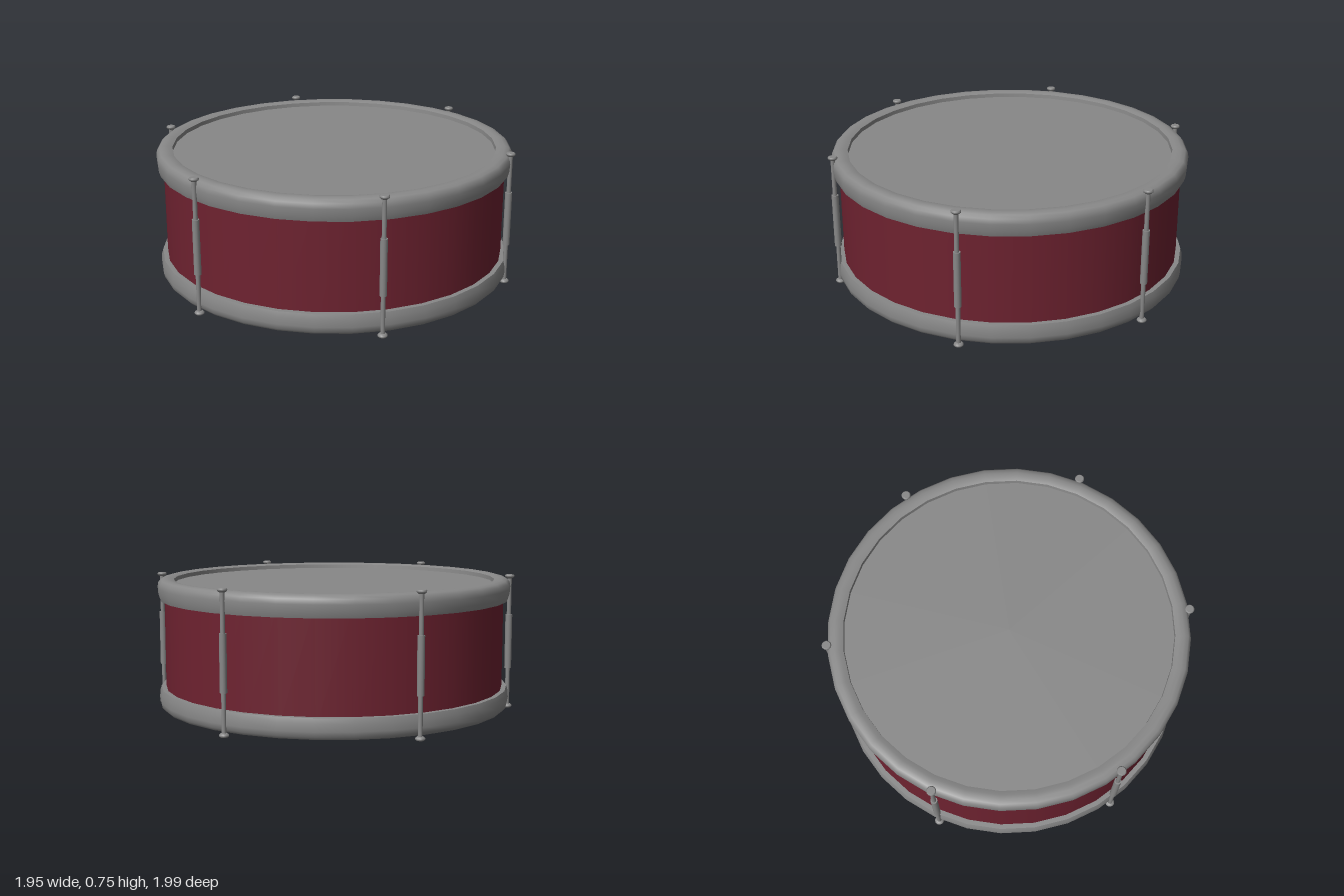
import * as THREE from 'three';

const SEGMENTS = 32;
const MID = 0.3725; // half of the total height
const ROD_RADIUS = 0.974;

export function createModel() {
  const drum = new THREE.Group();
  drum.name = 'drum';

  const red = new THREE.MeshStandardMaterial({ color: 0x6e2230 });
  red.name = 'dark red shell';
  const grey = new THREE.MeshStandardMaterial({ color: 0x888888 });
  grey.name = 'grey metal';

  const add = (parent, name, geometry, material, y = 0) => {
    const mesh = new THREE.Mesh(geometry, material);
    mesh.name = name;
    mesh.position.y = y;
    parent.add(mesh);
    return mesh;
  };

  // Shell, open because its ends are hidden in the hoops
  add(drum, 'shell', new THREE.CylinderGeometry(0.94, 0.94, 0.6, SEGMENTS, 1, true), red, MID);

  // Rounded hoop and recessed head; repeated points keep an edge sharp
  const profile = [
    [0.93, 0.243], [0.966, 0.243], [0.966, 0.243], [0.974, 0.27], [0.977, 0.31],
    [0.972, 0.336], [0.958, 0.352], [0.935, 0.358], [0.91, 0.357],
    [0.888, 0.35], [0.888, 0.35], [0.885, 0.32],
  ].map(([r, y]) => new THREE.Vector2(r, y));
  const hoop = new THREE.LatheGeometry(profile, SEGMENTS);
  const head = new THREE.CylinderGeometry(0.892, 0.892, 0.01, SEGMENTS);

  for (const [side, turn] of [['top', 0], ['bottom', Math.PI]]) {
    const end = new THREE.Group();
    end.name = side + 'End';
    end.position.y = MID;
    end.rotation.x = turn;
    add(end, side + 'Hoop', hoop, grey);
    add(end, side + 'Head', head, grey, 0.323);
    drum.add(end);
  }

  // Six tension rods, each with a sleeve and a bolt at both ends
  const rod = new THREE.CylinderGeometry(0.012, 0.012, 0.73, 12);
  const sleeve = new THREE.CylinderGeometry(0.019, 0.019, 0.3, 12);
  const bolt = new THREE.LatheGeometry([
    [0, -0.012], [0.016, -0.012], [0.025, -0.004], [0.026, 0.003],
    [0.021, 0.008], [0.021, 0.008], [0, 0.008],
  ].map(([r, y]) => new THREE.Vector2(r, y)), 12);

  for (let i = 0; i < 6; i++) {
    const angle = THREE.MathUtils.degToRad(5.1 + i * 60);
    const tension = new THREE.Group();
    tension.name = 'tensionRod' + (i + 1);
    tension.position.set(Math.sin(angle) * ROD_RADIUS, MID, Math.cos(angle) * ROD_RADIUS);
    tension.rotation.y = angle;
    add(tension, 'rod', rod, grey);
    add(tension, 'sleeve', sleeve, grey);
    add(tension, 'topBolt', bolt, grey, MID - 0.008);
    add(tension, 'bottomBolt', bolt, grey, 0.008 - MID).rotation.x = Math.PI;
    drum.add(tension);
  }

  return drum;
}
